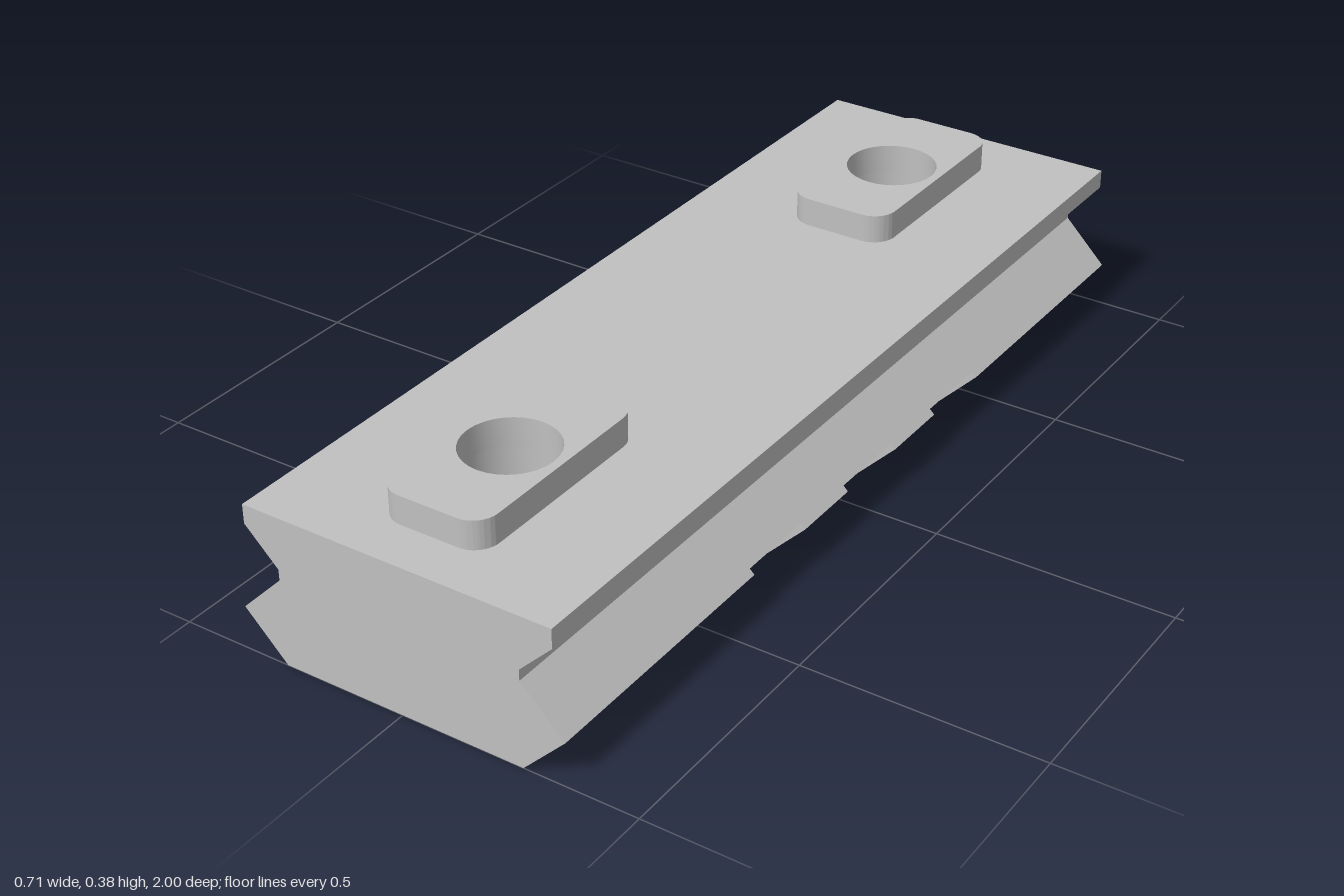
import * as THREE from 'three';
import { toCreasedNormals } from 'three/addons/utils/BufferGeometryUtils.js';

const HOLE_Z = 0.667, HOLE_R = 0.095, BORE_R = 0.163, BORE_TOP = 0.22;
const SLOT_Y = 0.103, TOP_Y = 0.318, PAD_Y = 0.378;

// half-width and height pairs, from bottom to top
const lower = [[0.262, 0], [0.353, 0.093], [0.343, SLOT_Y]];
const upper = [[0.343, SLOT_Y], [0.262, 0.184], [0.262, 0.207], [0.333, 0.278], [0.333, TOP_Y]];

// z ranges of the raised lands and of the cross slots between them
const lands = [[-1, -0.42], [-0.245, -0.09], [0.09, 0.245], [0.42, 1]];
const slots = [[-0.42, -0.245], [-0.09, 0.09], [0.245, 0.42]];

const circle = (x, y, r) => new THREE.Path().absarc(x, y, r, 0, Math.PI * 2, true);

// mirrored side walls swept along z
function sideWalls(profile, z0, z1) {
  const pos = [];
  const left = profile.map(([w, y]) => [-w, y]).reverse();
  for (const line of [profile, left]) {
    for (let i = 0; i + 1 < line.length; i++) {
      const [p, q] = [line[i], line[i + 1]];
      pos.push(...p, z1, ...p, z0, ...q, z0, ...p, z1, ...q, z0, ...q, z1);
    }
  }
  const geo = new THREE.BufferGeometry();
  geo.setAttribute('position', new THREE.Float32BufferAttribute(pos, 3));
  geo.computeVertexNormals();
  return geo;
}

// flat end face of a mirrored profile
function endFace(profile, z, front) {
  const left = profile.map(([w, y]) => [-w, y]).reverse();
  const shape = new THREE.Shape([...profile, ...left].map(([x, y]) => new THREE.Vector2(x, y)));
  const geo = new THREE.ShapeGeometry(shape);
  if (!front) geo.rotateY(Math.PI);
  return geo.translate(0, 0, z);
}

// horizontal face, optionally pierced by round holes
function plate(hw, z0, z1, y, up, holes = [], r = 0) {
  const s = up ? -1 : 1;
  const shape = new THREE.Shape([[-hw, z0], [hw, z0], [hw, z1], [-hw, z1]]
    .map(([x, z]) => new THREE.Vector2(x, s * z)));
  for (const z of holes) shape.holes.push(circle(0, s * z, r));
  return new THREE.ShapeGeometry(shape, 32).rotateX(s * Math.PI / 2).translate(0, y, 0);
}

// rounded block with a through hole
function padGeometry() {
  const w = 0.113, l = 0.232, r = 0.05;
  const shape = new THREE.Shape();
  shape.absarc(w - r, l - r, r, 0, Math.PI / 2);
  shape.absarc(-w + r, l - r, r, Math.PI / 2, Math.PI);
  shape.absarc(-w + r, -l + r, r, Math.PI, Math.PI * 1.5);
  shape.absarc(w - r, -l + r, r, Math.PI * 1.5, Math.PI * 2);
  shape.holes.push(circle(0, 0, HOLE_R));
  const geo = new THREE.ExtrudeGeometry(shape, { depth: PAD_Y - TOP_Y, bevelEnabled: false, curveSegments: 16 });
  return toCreasedNormals(geo.rotateX(-Math.PI / 2), 0.6);
}

export function createModel() {
  const metal = new THREE.MeshStandardMaterial({ color: 0xc0c0c0 });
  metal.name = 'grey metal';
  const model = new THREE.Group();
  model.name = 'slottedRail';

  const part = (name, geometries) => {
    const group = new THREE.Group();
    group.name = name;
    geometries.forEach((geo) => {
      const mesh = new THREE.Mesh(geo, metal);
      mesh.name = name + 'Surface';
      group.add(mesh);
    });
    model.add(group);
    return group;
  };

  // continuous upper body with its grooved flanks
  part('railBody', [
    sideWalls(upper, -1, 1),
    endFace(upper, 1, true),
    endFace(upper, -1, false),
    plate(0.333, -1, 1, TOP_Y, true, [-HOLE_Z, HOLE_Z], HOLE_R),
  ]);

  // lands on the underside
  for (const [z0, z1] of lands) {
    const mid = (z0 + z1) / 2;
    const holes = Math.abs(mid) > 0.5 ? [Math.sign(mid) * HOLE_Z] : [];
    part('land', [
      sideWalls(lower, z0, z1),
      endFace(lower, z1, true),
      endFace(lower, z0, false),
      plate(0.262, z0, z1, 0, false, holes, BORE_R),
    ]);
  }

  // roofs of the cross slots
  for (const [z0, z1] of slots) part('slotRoof', [plate(0.343, z0, z1, SLOT_Y, false)]);

  // locating pads and stepped screw holes
  for (const z of [-HOLE_Z, HOLE_Z]) {
    part('locatingPad', [padGeometry()]).position.set(0, TOP_Y, z);
    const ring = (...pts) => new THREE.LatheGeometry(pts.map(([r, y]) => new THREE.Vector2(r, y)), 64);
    part('screwHole', [
      ring([HOLE_R, TOP_Y], [HOLE_R, BORE_TOP]),
      ring([HOLE_R, BORE_TOP], [BORE_R, BORE_TOP]),
      ring([BORE_R, BORE_TOP], [BORE_R, 0]),
    ]).position.z = z;
  }
  return model;
}
